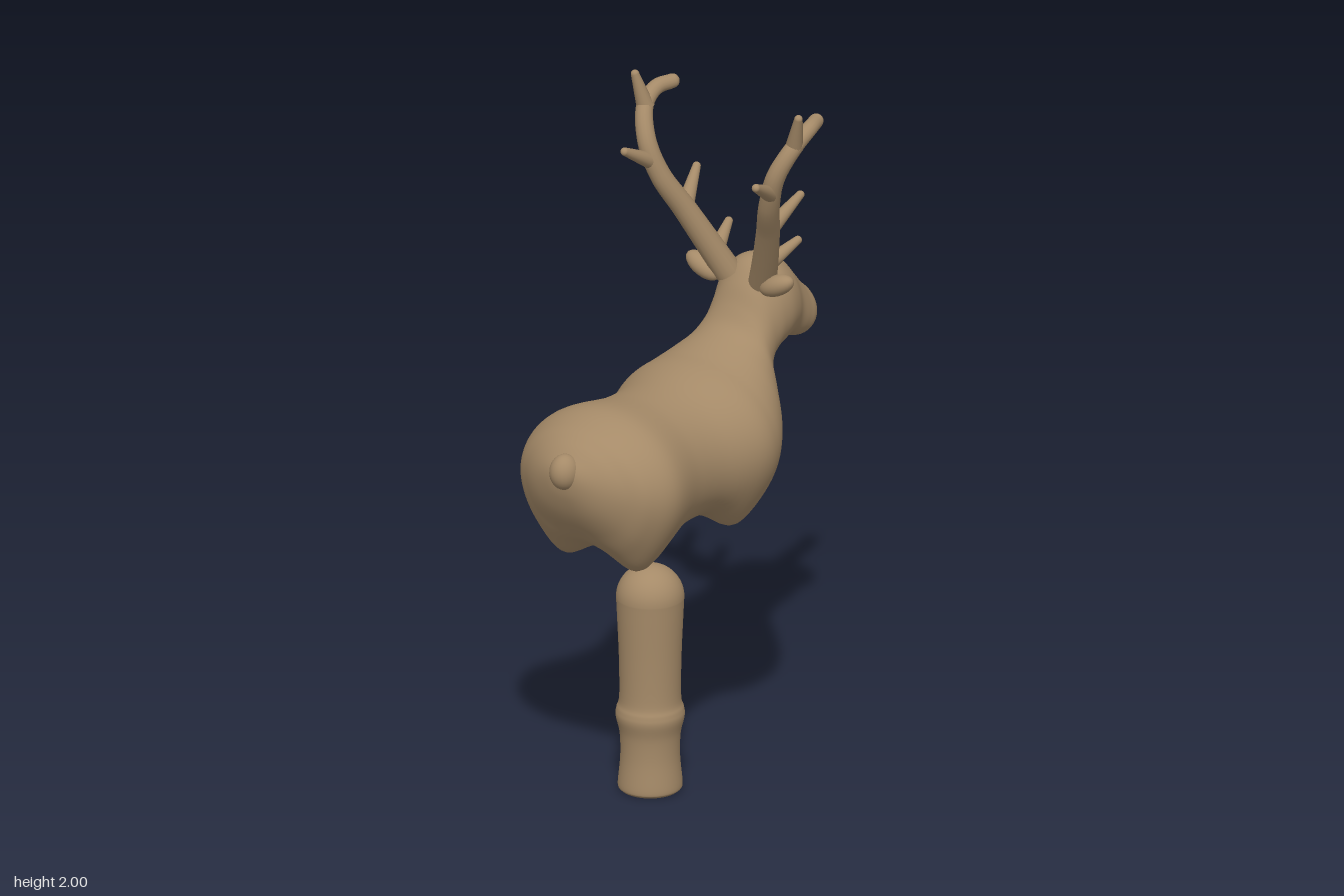
import * as THREE from 'three';

const coat = new THREE.MeshStandardMaterial({ color: 0xa58a68 });
coat.name = 'coat brown';

function add(parent, name, geometry) {
  const mesh = new THREE.Mesh(geometry, coat);
  mesh.name = name;
  parent.add(mesh);
  return mesh;
}

// Cross-sections from rump to muzzle: top x, top y, bottom x, bottom y, half width
const sections = [
  [-0.56, 1.06, -0.56, 1.06, 0],
  [-0.555, 1.10, -0.55, 1.01, 0.055],
  [-0.53, 1.135, -0.525, 0.95, 0.12],
  [-0.50, 1.165, -0.485, 0.89, 0.175],
  [-0.45, 1.195, -0.44, 0.845, 0.227],
  [-0.35, 1.22, -0.36, 0.815, 0.26],
  [-0.20, 1.20, -0.20, 0.815, 0.222],
  [-0.08, 1.20, -0.08, 0.815, 0.22],
  [0.04, 1.22, 0.06, 0.81, 0.26],
  [0.10, 1.23, 0.15, 0.82, 0.252],
  [0.16, 1.25, 0.22, 0.88, 0.215],
  [0.215, 1.28, 0.262, 0.97, 0.165],
  [0.25, 1.33, 0.29, 1.055, 0.125],
  [0.28, 1.39, 0.325, 1.115, 0.112],
  [0.32, 1.44, 0.355, 1.15, 0.118],
  [0.37, 1.453, 0.39, 1.167, 0.12],
  [0.425, 1.432, 0.425, 1.175, 0.108],
  [0.475, 1.385, 0.465, 1.172, 0.087],
  [0.525, 1.33, 0.50, 1.16, 0.08],
  [0.565, 1.295, 0.53, 1.155, 0.073],
  [0.585, 1.26, 0.565, 1.175, 0.05],
  [0.59, 1.225, 0.59, 1.225, 0],
];

// Body, neck and head as one smooth skin, with four leg stubs drawn down from the belly
function bodyGeometry() {
  const { smoothstep } = THREE.MathUtils;
  const spline = (f) => new THREE.CatmullRomCurve3(sections.map(f), false, 'catmullrom');
  const topLine = spline(([x, y, , , w]) => new THREE.Vector3(x, y, w));
  const bottomLine = spline(([, , x, y]) => new THREE.Vector3(x, y, 0));
  const rings = 126, sides = 96, positions = [], indices = [];
  for (let i = 0; i <= rings; i++) {
    const top = topLine.getPoint(i / rings), bottom = bottomLine.getPoint(i / rings);
    const width = Math.max(0, top.z);
    top.z = 0;
    const middle = top.clone().lerp(bottom, 0.53);
    const fullness = 1 - 0.25 * smoothstep(0.35 - top.x, 0, 0.2);
    for (let j = 0; j < sides; j++) {
      const a = (j / sides) * Math.PI * 2, c = Math.cos(a), s = Math.sin(a);
      const p = middle.clone().lerp(c > 0 ? top : bottom, Math.abs(c));
      p.z = width * Math.sign(s) * Math.pow(Math.abs(s), c < 0 ? fullness : 1);
      for (const stubX of [-0.37, 0.075]) {
        const d2 = (p.x - stubX) ** 2 + (Math.abs(p.z) - 0.13) ** 2;
        p.y -= 0.07 * Math.exp(-d2 / 0.0064) * smoothstep(-c, 0, 0.7);
      }
      positions.push(p.x, p.y, p.z);
      if (i < rings) {
        const k = i * sides + j, n = i * sides + (j + 1) % sides;
        indices.push(k, n, k + sides, n, n + sides, k + sides);
      }
    }
  }
  const g = new THREE.BufferGeometry();
  g.setAttribute('position', new THREE.Float32BufferAttribute(positions, 3));
  g.setIndex(indices);
  g.computeVertexNormals();
  return g;
}

// Tapering round branch with a rounded tip
function branch(parent, name, points, r0, r1, steps) {
  const curve = new THREE.CatmullRomCurve3(points);
  const sides = 16;
  const g = new THREE.TubeGeometry(curve, steps, 1, sides);
  const pos = g.attributes.position, v = new THREE.Vector3();
  for (let i = 0; i <= steps; i++) {
    const centre = curve.getPointAt(i / steps);
    const r = r0 + (r1 - r0) * (i / steps);
    for (let j = 0; j <= sides; j++) {
      const k = i * (sides + 1) + j;
      v.fromBufferAttribute(pos, k).sub(centre).multiplyScalar(r).add(centre);
      pos.setXYZ(k, v.x, v.y, v.z);
    }
  }
  add(parent, name, g);
  add(parent, name + 'Tip', new THREE.SphereGeometry(r1, 16, 12)).position.copy(points.at(-1));
}

const beam = [
  [0.31, 1.40, 0.06], [0.275, 1.48, 0.095], [0.22, 1.60, 0.145], [0.165, 1.71, 0.19],
  [0.15, 1.81, 0.225], [0.19, 1.895, 0.26], [0.25, 1.928, 0.265], [0.305, 1.932, 0.25],
];
const tines = [
  [[0.28, 1.455, 0.085], [0.395, 1.51, 0.12]],
  [[0.22, 1.60, 0.145], [0.325, 1.685, 0.18]],
  [[0.16, 1.745, 0.205], [0.05, 1.807, 0.228]],
  [[0.19, 1.89, 0.258], [0.175, 1.988, 0.284]],
];

function antler(side) {
  const group = new THREE.Group();
  group.name = side > 0 ? 'antlerNear' : 'antlerFar';
  const place = ([x, y, z]) => new THREE.Vector3(x, y, z * side);
  branch(group, 'beam', beam.map(place), 0.04, 0.021, 60);
  tines.forEach((t, i) => branch(group, 'tine' + (i + 1), t.map(place), 0.026, 0.012, 8));
  return group;
}

// Single standing leg with a domed top, a swollen joint and a flared foot
function legGeometry() {
  const side = new THREE.SplineCurve([
    [0.088, 0.005], [0.091, 0.02], [0.084, 0.10], [0.086, 0.17], [0.097, 0.22],
    [0.095, 0.245], [0.087, 0.28], [0.088, 0.40], [0.094, 0.54], [0.096, 0.58],
  ].map(([r, y]) => new THREE.Vector2(r, y)));
  const profile = [new THREE.Vector2(0, 0), new THREE.Vector2(0.082, 0), ...side.getPoints(50)];
  for (let i = 1; i <= 14; i++) {
    const a = (i / 14) * Math.PI / 2;
    profile.push(new THREE.Vector2(0.096 * Math.cos(a), 0.58 + 0.095 * Math.sin(a)));
  }
  return new THREE.LatheGeometry(profile, 48);
}

export function createModel() {
  const model = new THREE.Group();
  model.name = 'deer';
  add(model, 'body', bodyGeometry());

  // Stubby tail
  const tail = add(model, 'tail', new THREE.SphereGeometry(1, 24, 16));
  tail.scale.set(0.046, 0.052, 0.042);
  tail.position.set(-0.545, 1.09, 0);

  for (const side of [1, -1]) {
    model.add(antler(side));
    // Small ears pointing out sideways
    const ear = add(model, side > 0 ? 'earNear' : 'earFar', new THREE.SphereGeometry(1, 24, 16));
    ear.scale.set(0.032, 0.03, 0.06);
    ear.position.set(0.285, 1.41, 0.128 * side);
    ear.rotation.x = -0.45 * side;
  }

  add(model, 'leg', legGeometry()).position.x = -0.14;
  return model;
}
